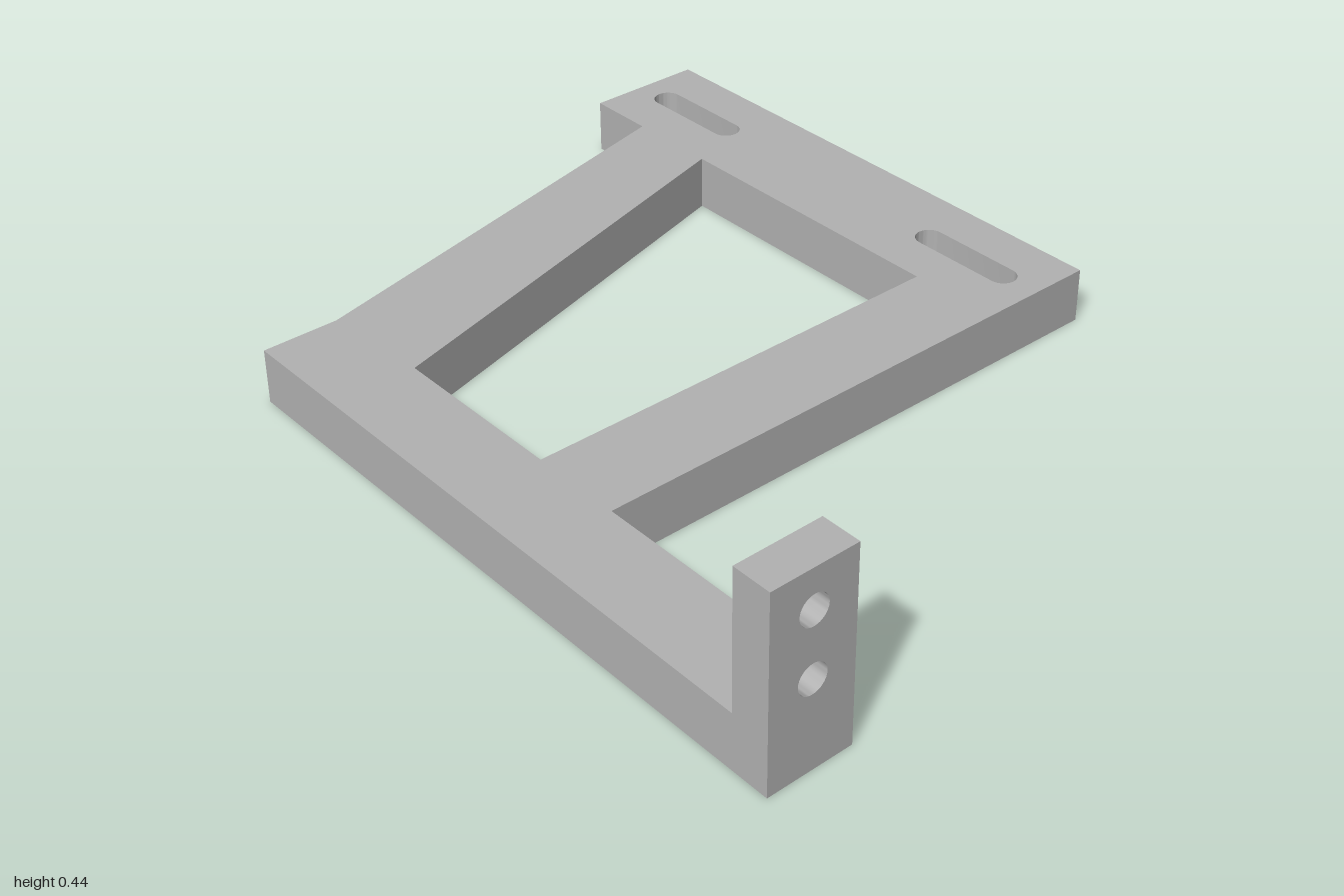
import * as THREE from 'three';
import { toCreasedNormals } from 'three/addons/utils/BufferGeometryUtils.js';

const THICK = 0.13; // plate thickness
const TAB_Z = 0.91; // inner face of the upright tab

const polygon = (points, Type = THREE.Shape) =>
  new Type(points.map(([x, y]) => new THREE.Vector2(x, y)));

function extrude(shape, depth) {
  return new THREE.ExtrudeGeometry(shape, { depth, bevelEnabled: false, curveSegments: 16 });
}

// Rounded slot running along z, in plan coordinates (y = -z)
function slot(x, zMin, zMax, r) {
  const path = new THREE.Path();
  path.absarc(x, -zMin - r, r, 0, Math.PI, false);
  path.absarc(x, -zMax + r, r, Math.PI, Math.PI * 2, false);
  path.closePath();
  return path;
}

function roundHole(x, y, r) {
  return new THREE.Path().absarc(x, y, r, 0, Math.PI * 2, false);
}

export function createModel() {
  const model = new THREE.Group();
  model.name = 'mountingBracket';
  const grey = new THREE.MeshStandardMaterial({ color: 0xb2b2b2 });
  grey.name = 'grey';

  const add = (name, geometry) => {
    const mesh = new THREE.Mesh(toCreasedNormals(geometry, Math.PI / 6), grey);
    mesh.name = name;
    model.add(mesh);
  };

  // Flat frame: long arm, cross bar, slanted brace and slotted rail
  const plan = (points) => points.map(([x, z]) => [x, -z]);
  const frame = polygon(plan([
    [-0.77, TAB_Z], [-0.57, TAB_Z], [-0.57, 0.34], [0.767, 0.34], [0.767, -1],
    [0.475, -1], [0.475, -0.832], [-0.59, -0.573], [-0.77, -0.573],
  ]));
  frame.holes.push(
    polygon(plan([[-0.57, 0.12], [0.475, 0.12], [0.475, -0.607], [-0.57, -0.31]]), THREE.Path),
    slot(0.62, -0.94, -0.65, 0.034),
    slot(0.62, -0.015, 0.275, 0.034),
  );
  add('frame', extrude(frame, THICK).rotateX(-Math.PI / 2));

  // Upright tab with two bolt holes at the end of the long arm
  const tab = polygon([[-0.77, 0], [-0.57, 0], [-0.57, 0.445], [-0.77, 0.445]]);
  for (const y of [0.207, 0.355]) tab.holes.push(roundHole(-0.67, y, 0.034));
  add('uprightTab', extrude(tab, 1 - TAB_Z).translate(0, 0, TAB_Z));

  return model;
}
